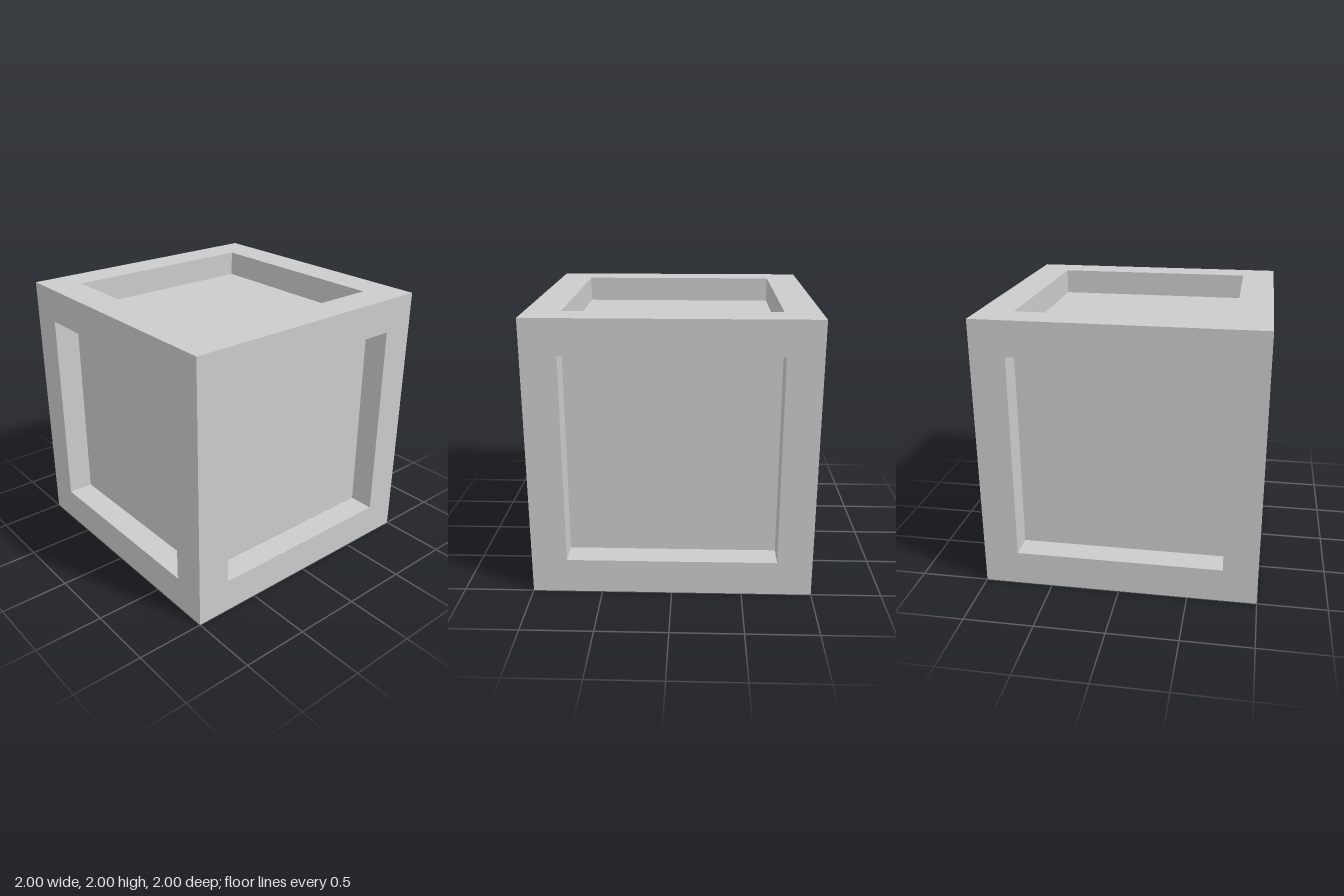
import * as THREE from 'three';
import { mergeGeometries } from 'three/addons/utils/BufferGeometryUtils.js';

const HALF = 1;        // half the crate's side
const OPEN = 0.75;     // half the recess opening
const DEPTH = 0.19;    // recess depth

function squarePoints(h) {
  return [[-h, -h], [h, -h], [h, h], [-h, h]].map(([x, y]) => new THREE.Vector2(x, y));
}

// Flat square border around the recess
function rimGeometry() {
  const shape = new THREE.Shape(squarePoints(HALF));
  shape.holes.push(new THREE.Path(squarePoints(OPEN).reverse()));
  return new THREE.ShapeGeometry(shape).translate(0, 0, HALF);
}

// Four walls facing into the recess
function wallsGeometry() {
  const walls = [];
  for (let i = 0; i < 4; i++) {
    walls.push(new THREE.PlaneGeometry(2 * OPEN, DEPTH)
      .rotateX(-Math.PI / 2)
      .translate(0, -OPEN, HALF - DEPTH / 2)
      .rotateZ(i * Math.PI / 2));
  }
  return mergeGeometries(walls);
}

export function createModel() {
  const model = new THREE.Group();
  model.name = 'crate';
  const material = new THREE.MeshStandardMaterial({ color: 0xcccccc, flatShading: true });

  const parts = {
    rim: rimGeometry(),
    recessWalls: wallsGeometry(),
    panel: new THREE.PlaneGeometry(2 * OPEN, 2 * OPEN).translate(0, 0, HALF - DEPTH),
  };

  // The same framed, recessed side turned to all six directions
  const q = Math.PI / 2;
  const sides = {
    frontSide: [0, 0], leftSide: [0, q], backSide: [0, 2 * q], rightSide: [0, -q],
    topSide: [-q, 0], bottomSide: [q, 0],
  };
  for (const [name, [rx, ry]] of Object.entries(sides)) {
    const side = new THREE.Group();
    side.name = name;
    for (const [partName, geometry] of Object.entries(parts)) {
      const mesh = new THREE.Mesh(geometry, material);
      mesh.name = partName;
      side.add(mesh);
    }
    side.rotation.set(rx, ry, 0);
    side.position.y = HALF;
    model.add(side);
  }
  return model;
}
